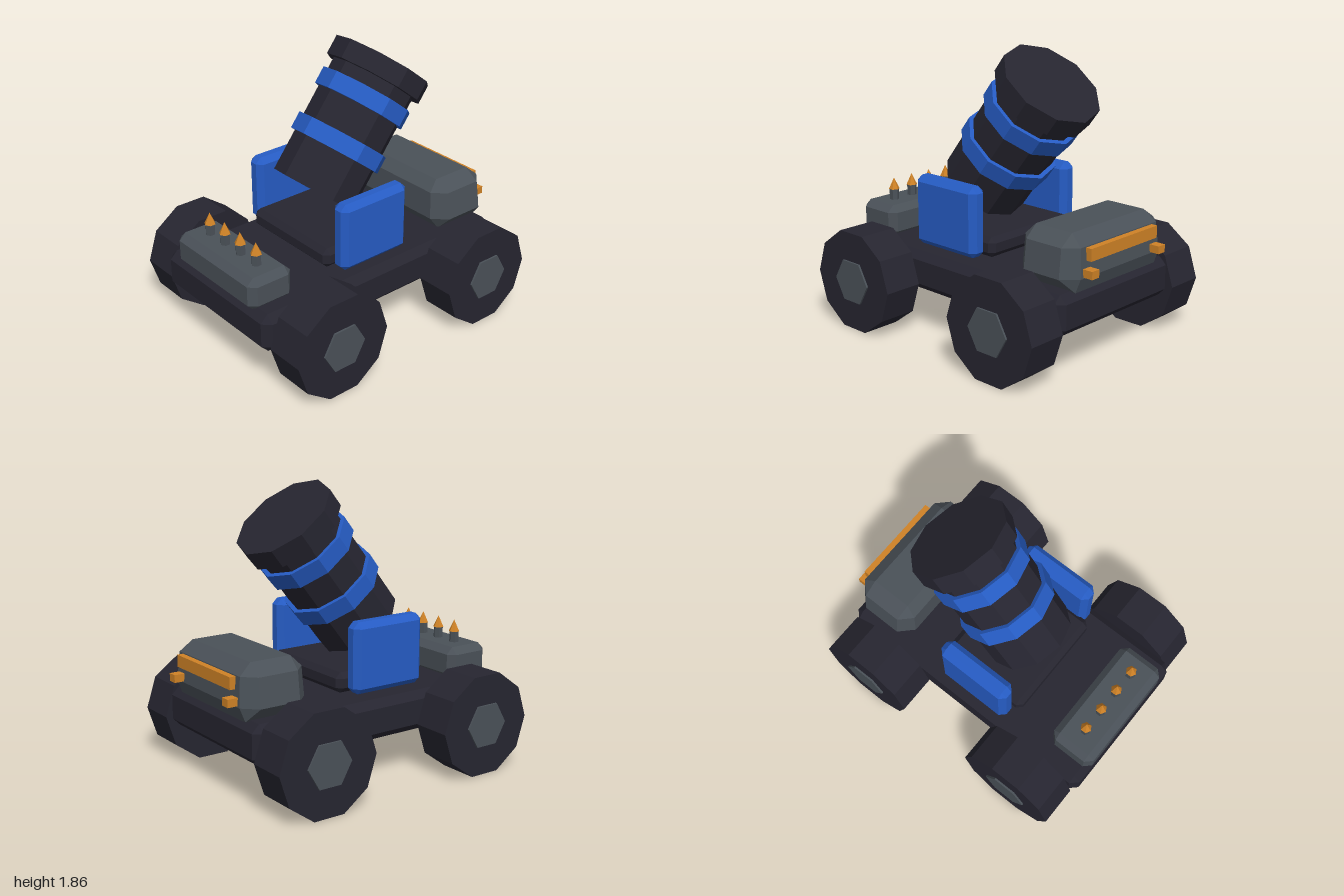
import * as THREE from 'three';
import { ConvexGeometry } from 'three/addons/geometries/ConvexGeometry.js';

const material = (name, color) => {
  const m = new THREE.MeshStandardMaterial({ color });
  m.name = name;
  return m;
};

export function createModel() {
  const iron = material('darkIron', 0x262530);
  const blue = material('bluePaint', 0x265cc4);
  const steel = material('greySteel', 0x4a5158);
  const brass = material('orangeBrass', 0xcf8226);

  const model = new THREE.Group();
  model.name = 'cannonCart';

  const add = (parent, name, geometry, mat, x = 0, y = 0, z = 0) => {
    const mesh = new THREE.Mesh(geometry, mat);
    mesh.name = name;
    mesh.position.set(x, y, z);
    parent.add(mesh);
    return mesh;
  };

  // Faceted cylinder or cone with flat normals
  const prism = (rTop, rBottom, height, sides) => {
    const g = new THREE.CylinderGeometry(rTop, rBottom, height, sides).toNonIndexed();
    g.computeVertexNormals();
    return g;
  };

  // Box between two corners with every edge chamfered by c
  const chamferBox = (name, mat, [x0, y0, z0], [x1, y1, z1], c) => {
    const half = [(x1 - x0) / 2, (y1 - y0) / 2, (z1 - z0) / 2];
    const points = [];
    for (const sx of [-1, 1]) for (const sy of [-1, 1]) for (const sz of [-1, 1]) {
      for (let full = 0; full < 3; full++) {
        const p = half.map((h, i) => (i === full ? h : h - c));
        points.push(new THREE.Vector3(p[0] * sx, p[1] * sy, p[2] * sz));
      }
    }
    return add(model, name, new ConvexGeometry(points), mat,
      (x0 + x1) / 2, (y0 + y1) / 2, (z0 + z1) / 2);
  };

  // Chassis, turret plate and front bumper
  chamferBox('chassis', iron, [-0.53, 0.28, -0.92], [0.53, 0.54, 1], 0.05);
  chamferBox('mountPlate', iron, [-0.375, 0.575, -0.22], [0.375, 0.705, 0.415], 0.035);
  chamferBox('frontBumper', steel, [-0.4, 0.51, 0.68], [0.4, 0.73, 1], 0.045);

  // Wheels with hubs that show on both sides
  for (const side of [-1, 1]) {
    for (const [label, z] of [['front', 0.628], ['rear', -0.597]]) {
      const wheel = new THREE.Group();
      wheel.name = label + (side > 0 ? 'LeftWheel' : 'RightWheel');
      wheel.position.set(side * 0.665, 0.328, z);
      wheel.rotation.z = Math.PI / 2;
      add(wheel, 'tyre', prism(0.344, 0.344, 0.265, 10), iron);
      add(wheel, 'hub', prism(0.155, 0.155, 0.29, 6), steel);
      model.add(wheel);
    }
    // Barrel cheek plates
    chamferBox(side > 0 ? 'leftCheek' : 'rightCheek', blue,
      [side * 0.4235 - 0.0635, 0.58, -0.167], [side * 0.4235 + 0.0635, 1.035, 0.362], 0.038);
  }

  // Spikes on the front bumper
  for (const x of [-0.24, -0.08, 0.08, 0.24]) {
    add(model, 'spikeBase', prism(0.032, 0.032, 0.1, 6), steel, x, 0.76, 0.842);
    add(model, 'spikeTip', prism(0, 0.037, 0.078, 6), brass, x, 0.841, 0.842);
  }

  // Rear engine cover: stacked sections [y, half width, back z, front z, corner cut]
  const sections = [
    [0.53, 0.38, -0.9, -0.55, 0],
    [0.62, 0.465, -0.935, -0.48, 0.09],
    [0.805, 0.44, -0.92, -0.488, 0.08],
    [0.875, 0.34, -0.835, -0.555, 0],
  ];
  const cover = [];
  for (const [y, w, back, front, c] of sections) {
    for (const s of [-1, 1]) {
      cover.push(
        new THREE.Vector3(s * w, y, back + c), new THREE.Vector3(s * (w - c), y, back),
        new THREE.Vector3(s * w, y, front - c), new THREE.Vector3(s * (w - c), y, front));
    }
  }
  add(model, 'engineCover', new ConvexGeometry(cover), steel);

  // Rear bar and lamp blocks
  add(model, 'rearBar', new THREE.BoxGeometry(0.63, 0.078, 0.05), brass, 0, 0.76, -0.937);
  for (const s of [-1, 1]) {
    add(model, 'rearLamp', new THREE.BoxGeometry(0.064, 0.05, 0.08), brass, s * 0.319, 0.653, -0.96);
  }

  // Barrel, leaning back; its origin is the centre of the muzzle
  const barrel = new THREE.Group();
  barrel.name = 'barrel';
  barrel.position.set(0, 1.651, -0.373);
  barrel.rotation.x = -0.667;
  const ring = (name, mat, radius, from, to) =>
    add(barrel, name, prism(radius, radius, to - from, 10), mat, 0, (from + to) / 2, 0);
  ring('barrelTube', iron, 0.288, -0.93, -0.06);
  ring('muzzleRim', iron, 0.338, -0.13, 0);
  ring('upperBand', blue, 0.317, -0.328, -0.213);
  ring('lowerBand', blue, 0.317, -0.65, -0.535);
  model.add(barrel);

  return model;
}
